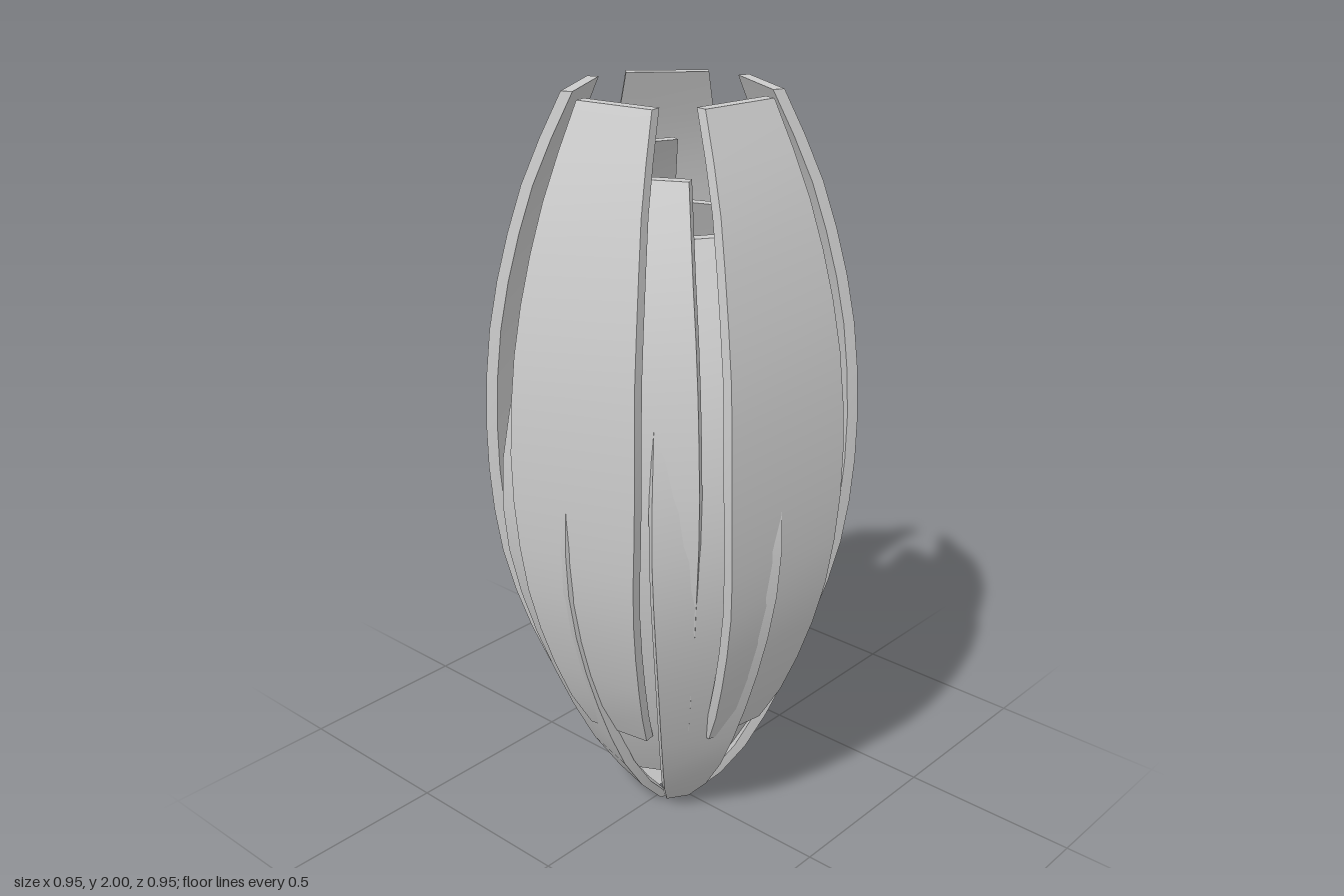
import * as THREE from 'three';
import { toCreasedNormals } from 'three/addons/utils/BufferGeometryUtils.js';

const material = new THREE.MeshStandardMaterial({ color: 0xcccccc });
const SEGMENTS = 14;
const THICKNESS = 0.03;

// Petal outlines from base to tip: [height, distance from the axis, width]
const LOW = [
  [0, 0.06, 0.065], [0.07, 0.125, 0.11], [0.2, 0.21, 0.165], [0.4, 0.297, 0.225],
  [0.6, 0.365, 0.275], [0.8, 0.41, 0.315], [1, 0.42, 0.33], [1.25, 0.385, 0.3],
  [1.45, 0.315, 0.25], [1.68, 0.195, 0.175],
];
const MIDDLE = [
  [0.16, 0.16, 0.14], [0.3, 0.235, 0.2], [0.45, 0.295, 0.24], [0.6, 0.34, 0.275],
  [0.8, 0.385, 0.31], [1.05, 0.41, 0.335], [1.4, 0.385, 0.31], [1.65, 0.315, 0.25],
  [1.83, 0.225, 0.19],
];
const HIGH = [
  [0.33, 0.265, 0.18], [0.4, 0.305, 0.215], [0.5, 0.345, 0.25], [0.6, 0.38, 0.28],
  [0.8, 0.428, 0.325], [1.1, 0.447, 0.365], [1.4, 0.43, 0.35], [1.6, 0.392, 0.32],
  [1.8, 0.335, 0.27], [2, 0.247, 0.21],
];
const HEART = [
  [0.4, 0.11, 0.1], [0.7, 0.215, 0.18], [1, 0.28, 0.22], [1.3, 0.25, 0.2], [1.55, 0.153, 0.13],
];

// A flat slab bent along its length and tapered to the outline
function petalGeometry(outline) {
  const curve = new THREE.CatmullRomCurve3(outline.map(p => new THREE.Vector3(...p)));
  const geometry = new THREE.BoxGeometry(1, 1, THICKNESS, 1, SEGMENTS, 1);
  const pos = geometry.attributes.position;
  for (let i = 0; i < pos.count; i++) {
    const p = curve.getPointAt(THREE.MathUtils.clamp(pos.getY(i) + 0.5, 0, 1));
    pos.setXYZ(i, pos.getX(i) * p.z, p.x, p.y + pos.getZ(i) - THICKNESS / 2);
  }
  return toCreasedNormals(geometry, 0.6);
}

// Five equal petals around the axis
function petalRing(name, outline, degrees) {
  const ring = new THREE.Group();
  ring.name = name;
  const geometry = petalGeometry(outline);
  for (let i = 0; i < 5; i++) {
    const petal = new THREE.Mesh(geometry, material);
    petal.name = 'petal';
    petal.rotation.y = THREE.MathUtils.degToRad(degrees + i * 72);
    ring.add(petal);
  }
  return ring;
}

export function createModel() {
  const bud = new THREE.Group();
  bud.name = 'flowerBud';
  bud.add(
    petalRing('lowPetals', LOW, 57),
    petalRing('middlePetals', MIDDLE, 28),
    petalRing('highPetals', HIGH, 9),
    petalRing('heartPetals', HEART, 39),
  );

  // Low rounded core inside the petals
  const core = new THREE.Mesh(new THREE.SphereGeometry(0.22, 24, 16), material);
  core.name = 'core';
  core.scale.y = 0.4;
  core.position.y = 0.42;
  bud.add(core);
  return bud;
}
